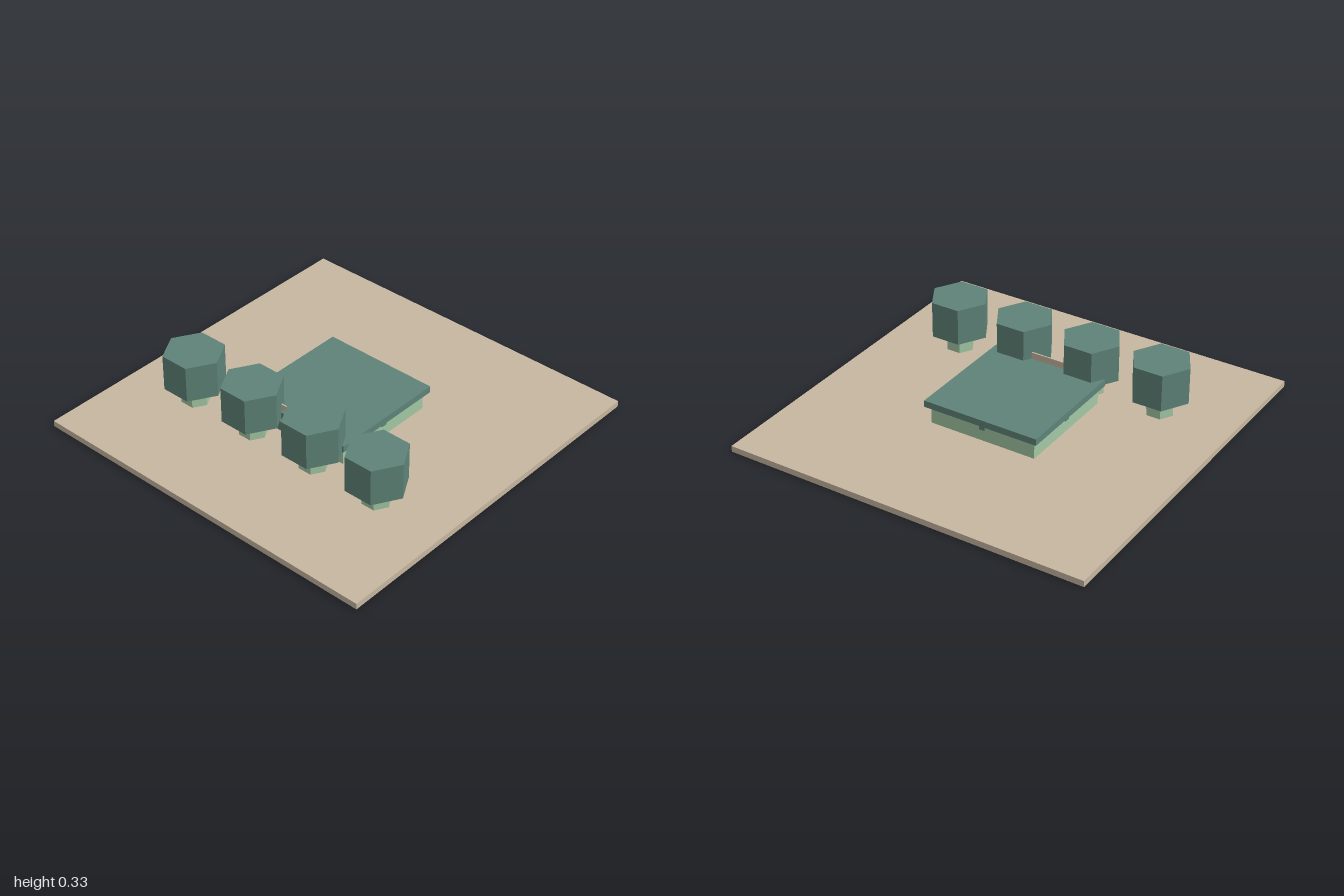
import * as THREE from 'three';

const mat = (name, color) => {
  const m = new THREE.MeshStandardMaterial({ color });
  m.name = name;
  return m;
};

export function createModel() {
  const model = new THREE.Group();
  const sand = mat('sand', 0xc6b7a0);
  const teal = mat('teal', 0x5e8378);
  const paleGreen = mat('pale green', 0xa3c8a4);

  const add = (name, geometry, material, x, y, z, parent = model) => {
    const mesh = new THREE.Mesh(geometry, material);
    mesh.name = name;
    mesh.position.set(x, y, z);
    parent.add(mesh);
    return mesh;
  };
  const box = (name, w, h, d, material, x, y, z) =>
    add(name, new THREE.BoxGeometry(w, h, d), material, x, y, z);

  // Ground slab
  box('ground', 2, 0.033, 2, sand, 0, 0.0165, 0);

  // Low pavilion with an overhanging flat roof
  box('walls', 0.6, 0.1, 0.6, paleGreen, 0, 0.08, 0);
  box('roof', 0.65, 0.036, 0.65, teal, 0, 0.148, 0);

  // Front board rising through the roof, and the panel in front of the wall
  box('frontBoard', 0.3, 0.1, 0.008, sand, 0, 0.152, 0.306);
  box('frontPanel', 0.3, 0.054, 0.006, teal, 0, 0.079, 0.321);

  // Small vents on the sides and back
  for (const side of [-1, 1]) box('sideVent', 0.006, 0.024, 0.032, teal, side * 0.301, 0.107, 0);
  box('backVent', 0.032, 0.024, 0.006, teal, 0, 0.107, -0.301);

  // Row of hexagonal trees, corners pointing along x
  const hexPrism = (radius, height) =>
    new THREE.CylinderGeometry(radius, radius, height, 6, 1, false, Math.PI / 6).toNonIndexed();
  const trunk = hexPrism(0.076, 0.102);
  const crown = hexPrism(0.16, 0.2);
  for (const g of [trunk, crown]) g.computeVertexNormals();
  for (const x of [-0.6, -0.2, 0.2, 0.6]) {
    const tree = new THREE.Group();
    tree.name = 'tree';
    tree.position.set(x, 0.033, 0.4);
    add('trunk', trunk, paleGreen, 0, 0.051, 0, tree);
    add('crown', crown, teal, 0, 0.2, 0, tree);
    model.add(tree);
  }
  return model;
}
